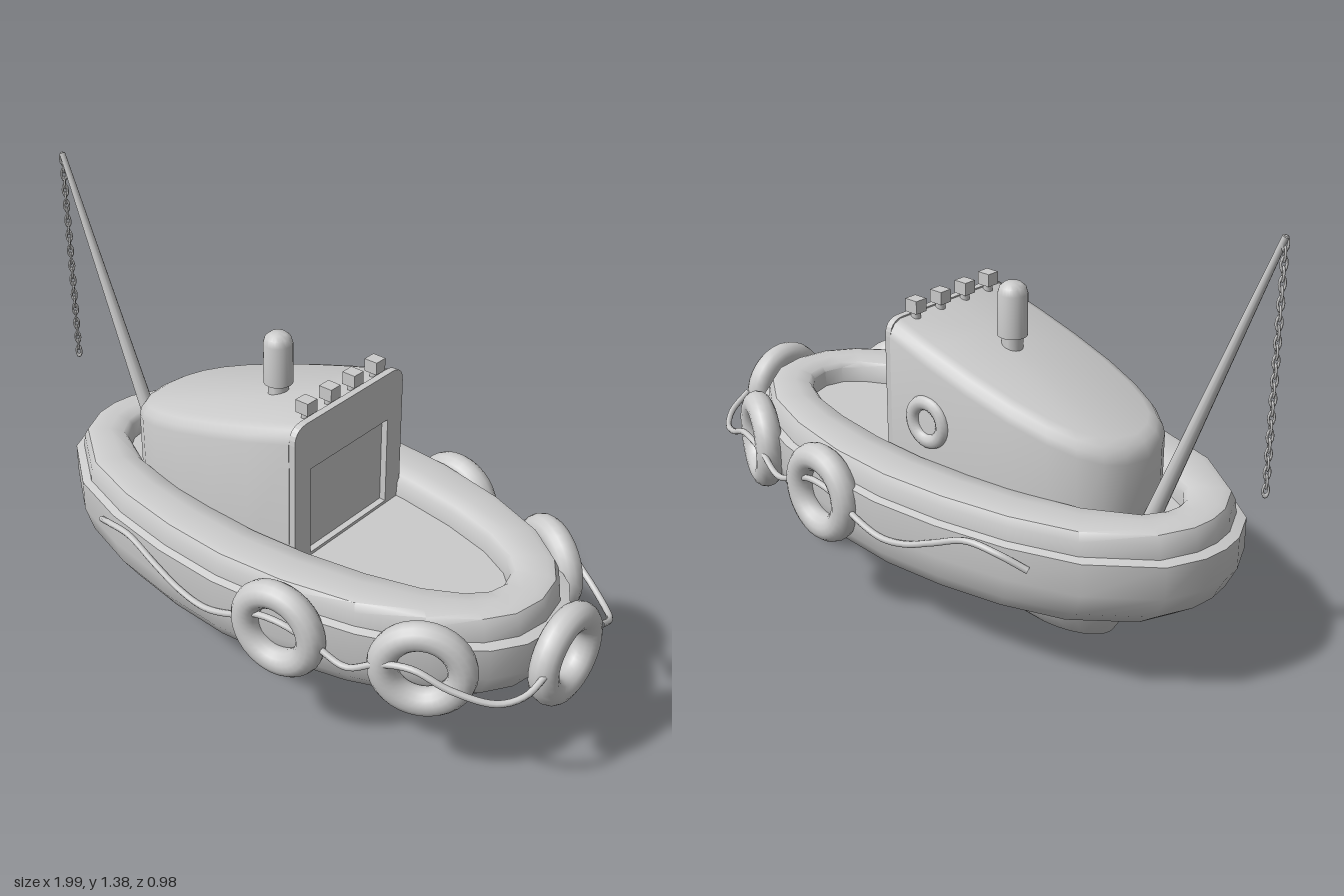
import * as THREE from 'three';
import { toCreasedNormals } from 'three/addons/utils/BufferGeometryUtils.js';

const V = (x, y, z) => new THREE.Vector3(x, y, z);
const material = new THREE.MeshStandardMaterial({ color: 0xcccccc });

// Completes a half outline [x, z] (bow to stern, z >= 0) with its mirror image
const mirrorOutline = (half) => [...half, ...half.slice(1, -1).reverse().map(([x, z]) => [x, -z])];

// Skins a stack of closed rings, listed from bottom to top
function loft(rings, crease = 0.6) {
  const n = rings[0].length;
  const index = [];
  for (let i = 0; i < rings.length - 1; i++) {
    for (let j = 0; j < n; j++) {
      const a = i * n + j, b = i * n + (j + 1) % n;
      index.push(a, a + n, b, b, a + n, b + n);
    }
  }
  const geometry = new THREE.BufferGeometry().setFromPoints(rings.flat());
  geometry.setIndex(index);
  return toCreasedNormals(geometry, crease);
}

export function createModel() {
  const model = new THREE.Group();
  const add = (name, geometry, parent = model) => {
    const mesh = new THREE.Mesh(geometry, material);
    mesh.name = name;
    parent.add(mesh);
    return mesh;
  };

  // Hull, rounded rim and sunken deck in one skin: [x scale, z scale, y]
  const hullOutline = mirrorOutline([
    [0.91, 0], [0.89, 0.11], [0.83, 0.2], [0.7, 0.3], [0.5, 0.38], [0.26, 0.435], [0.03, 0.455],
    [-0.2, 0.44], [-0.43, 0.4], [-0.64, 0.33], [-0.82, 0.19], [-0.87, 0.08], [-0.88, 0],
  ]);
  const hullProfile = [
    [0, 0, 0.145], [0.4, 0.4, 0.15], [0.7, 0.7, 0.185], [0.88, 0.9, 0.24], [0.96, 0.97, 0.29],
    [1, 1, 0.36], [1, 1, 0.46], [0.965, 0.95, 0.468], [0.96, 0.94, 0.51], [0.945, 0.91, 0.535],
    [0.92, 0.86, 0.542], [0.87, 0.7, 0.542], [0.82, 0.58, 0.535], [0.805, 0.55, 0.52],
    [0.8, 0.54, 0.47], [0, 0, 0.47],
  ];
  add('hull', loft(hullProfile.map(([sx, sz, y]) =>
    hullOutline.map(([x, z]) => V(x * sx, y, z * sz))), 0.75));

  // Keel: oval slices [aft x, fore x, half width, y]
  const keelSlices = [
    [-0.37, -0.37, 0, 0], [-0.43, -0.3, 0.03, 0.004], [-0.5, -0.14, 0.095, 0.035],
    [-0.545, 0.06, 0.165, 0.105], [-0.57, 0.17, 0.18, 0.145], [-0.585, 0.25, 0.185, 0.2],
  ];
  add('keel', loft(keelSlices.map(([aft, fore, w, y]) =>
    Array.from({ length: 24 }, (_, i) => {
      const t = i / 24 * Math.PI * 2;
      return V((aft + fore) / 2 + (fore - aft) / 2 * Math.cos(t), y, w * Math.sin(t));
    }))));

  // Cabin with a sloping roof and rounded upper edge: [inset, drop below roof]
  const cabinOutline = mirrorOutline([
    [0.155, 0], [0.155, 0.252], [0, 0.26], [-0.15, 0.257], [-0.3, 0.243], [-0.42, 0.217],
    [-0.5, 0.185], [-0.56, 0.14], [-0.595, 0.08], [-0.61, 0],
  ]);
  const roofY = (x) => 0.93 + 0.3 * (x - 0.175);
  const cabinRing = (inset, height) => cabinOutline.map(([x, z]) => {
    const px = x < 0 ? x * (1 - inset / 0.6) : x;
    return V(px, height(px), z * (1 - inset / 0.25));
  });
  const edge = [[0, 0.05], [0.006, 0.028], [0.02, 0.01], [0.045, 0]];
  const cabin = new THREE.Group();
  cabin.name = 'cabin';
  model.add(cabin);
  add('cabinBody', loft([
    cabinRing(0, () => 0.46),
    ...edge.map(([inset, drop]) => cabinRing(inset, (x) => roofY(x) - drop)),
    cabinOutline.map(() => V(0, roofY(0), 0)),
  ], 0.75), cabin);

  // Front frame surrounding the recessed panel
  const frame = new THREE.Shape();
  frame.moveTo(-0.25, 0.46).lineTo(0.25, 0.46).lineTo(0.25, 0.875)
    .quadraticCurveTo(0.25, 0.925, 0.2, 0.928).lineTo(-0.2, 0.928)
    .quadraticCurveTo(-0.25, 0.925, -0.25, 0.875).lineTo(-0.25, 0.46);
  const opening = new THREE.Path();
  opening.moveTo(-0.18, 0.48).lineTo(-0.18, 0.77).lineTo(0.18, 0.77).lineTo(0.18, 0.48).lineTo(-0.18, 0.48);
  frame.holes.push(opening);
  const frameGeometry = new THREE.ExtrudeGeometry(frame, { depth: 0.022, bevelEnabled: false, curveSegments: 6 });
  add('frontFrame', frameGeometry.rotateY(Math.PI / 2).translate(0.154, 0, 0), cabin);

  // Porthole ring on one side
  add('portholeRing', new THREE.TorusGeometry(0.06, 0.023, 10, 28), cabin).position.set(0, 0.655, -0.255);

  // Chimney with a narrow neck and domed cap
  const chimney = [[0, 0.8], [0.032, 0.8], [0.032, 0.875], [0.045, 0.88], [0.045, 1.01], [0.039, 1.03], [0.025, 1.042], [0, 1.045]];
  const chimneyGeometry = new THREE.LatheGeometry(chimney.map(([r, y]) => new THREE.Vector2(r, y)), 24);
  add('chimney', toCreasedNormals(chimneyGeometry, 0.7), cabin).position.x = -0.1;

  // Row of roof lamps
  for (const z of [-0.157, -0.053, 0.053, 0.157]) {
    const lamp = new THREE.Group();
    lamp.name = 'roofLamp';
    lamp.position.set(0.14, 0.95, z);
    cabin.add(lamp);
    add('lampHousing', new THREE.BoxGeometry(0.045, 0.04, 0.042), lamp).position.y = 0.006;
    add('lampFoot', new THREE.CylinderGeometry(0.015, 0.015, 0.06, 10), lamp).position.y = -0.025;
  }

  // Raked, tapering mast
  const foot = V(-0.63, 0.47, 0), tip = V(-0.988, 1.38, 0);
  const mast = add('mast', new THREE.CylinderGeometry(0.009, 0.025, foot.distanceTo(tip), 12));
  mast.position.copy(foot).lerp(tip, 0.5);
  mast.quaternion.setFromUnitVectors(V(0, 1, 0), tip.clone().sub(foot).normalize());

  // Chain of long links, each turned a quarter from the last
  const linkGeometry = new THREE.TorusGeometry(0.008, 0.0035, 6, 12).scale(1, 2.1, 1);
  const chain = new THREE.Group();
  chain.name = 'chain';
  model.add(chain);
  for (let i = 0; i < 27; i++) {
    const link = add('chainLink', linkGeometry, chain);
    link.position.set(-0.988, 1.36 - i * 0.0262, 0);
    link.rotation.y = Math.PI / 4 + (i % 2) * Math.PI / 2;
  }

  // Tyre fenders around the bow
  const tyreGeometry = new THREE.TorusGeometry(0.113, 0.043, 14, 32);
  const addTyre = (x, z, turn) => {
    const tyre = add('tyreFender', tyreGeometry);
    tyre.position.set(x, 0.4, z);
    tyre.rotation.y = turn;
  };
  addTyre(0.955, 0.01, Math.PI / 2);

  // Rope draped along each side and through the tyres
  const ropePoints = [
    [-0.5, 0.41, 0.385], [-0.42, 0.45, 0.425], [-0.32, 0.457, 0.44], [-0.2, 0.41, 0.452], [-0.1, 0.37, 0.457],
    [0, 0.355, 0.46], [0.1, 0.38, 0.46], [0.2, 0.43, 0.46], [0.3, 0.44, 0.455], [0.4, 0.4, 0.43],
    [0.5, 0.37, 0.42], [0.6, 0.42, 0.4], [0.7, 0.44, 0.38], [0.8, 0.4, 0.345], [0.91, 0.37, 0.28],
    [0.96, 0.385, 0.22], [0.975, 0.42, 0.14],
  ];
  for (const side of [1, -1]) {
    addTyre(0.27, side * 0.438, side * 0.1);
    addTyre(0.69, side * 0.32, side * 0.48);
    const path = new THREE.CatmullRomCurve3(ropePoints.map(([x, y, z]) => V(x, y, z * side)));
    add('rope', new THREE.TubeGeometry(path, 90, 0.01, 8));
  }
  return model;
}
